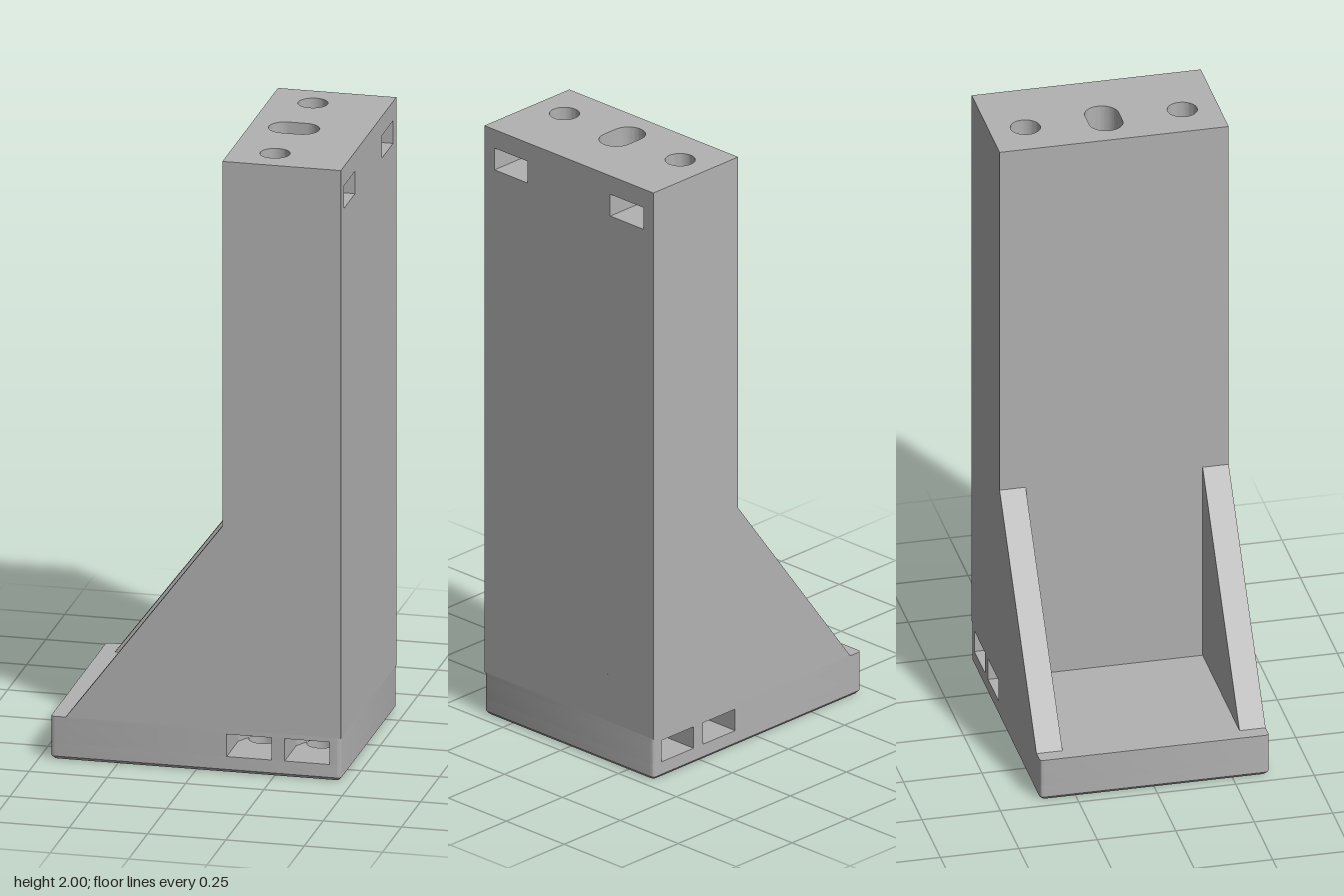
import * as THREE from 'three';
import { toCreasedNormals } from 'three/addons/utils/BufferGeometryUtils.js';

const W = 0.463, D = 0.365;            // half width (x) and half depth (z)
const COL = 0.085;                     // inner face of the column
const BASE_TOP = 0.14, ROUND = 0.012, CHAMFER = 0.008;
const NUT = 0.0715, NUT_R = NUT / Math.cos(Math.PI / 6); // hex nut pocket
const BOLT = 0.047;

const grey = new THREE.MeshStandardMaterial({ color: 0xb2b2b2 });

const circle = (x, z, r = BOLT) => new THREE.Path().absarc(x, z, r, 0, Math.PI * 2, true);

// Holes: four upward from the base, two downward from the top, one oblong
const baseBolts = [0.17, 0.355].flatMap(x => [-0.17, 0.17].map(z => circle(x, z)));
const topBolts = [-0.25, 0.25].map(z => circle(0.225, z));
const oblong = new THREE.Path();
oblong.absarc(0.252, 0, 0.0535, -Math.PI / 2, Math.PI / 2, false);
oblong.absarc(0.198, 0, 0.0535, Math.PI / 2, Math.PI * 1.5, false);
oblong.closePath();

// Horizontal slab between two heights
function slab(points, holes, y0, y1) {
  const shape = new THREE.Shape(points.map(p => new THREE.Vector2(...p)));
  shape.holes = holes;
  const g = new THREE.ExtrudeGeometry(shape, { depth: y1 - y0, bevelEnabled: false, curveSegments: 16 });
  return g.rotateX(-Math.PI / 2).translate(0, y0, 0);
}

// Base outline with rounded corners, optionally cut by the side nut pockets
function baseOutline(pockets) {
  const corner = (sx, sz, a0) => [0, 1, 2, 3, 4].map(i => {
    const a = a0 + i * Math.PI / 8;
    return [sx * (W - ROUND) + ROUND * Math.cos(a), sz * (D - ROUND) + ROUND * Math.sin(a)];
  });
  const cut = !pockets ? [] : [0.17, 0.355].flatMap(x => [
    [x - NUT, -D], [x - NUT, -0.17 - NUT_R / 2], [x, -0.17 + NUT_R],
    [x + NUT, -0.17 - NUT_R / 2], [x + NUT, -D]]);
  const mirrored = cut.map(([x, z]) => [x, -z]).reverse();
  return [...corner(-1, -1, Math.PI), ...cut, ...corner(1, -1, -Math.PI / 2),
    ...corner(1, 1, 0), ...mirrored, ...corner(-1, 1, Math.PI / 2)];
}

// Column outline, optionally cut by the nut pockets of its outer face
function columnOutline(pockets) {
  const cut = !pockets ? [] : [-0.25, 0.25].flatMap(z => [
    [W, z - NUT], [0.225 + NUT_R / 2, z - NUT], [0.225 - NUT_R, z],
    [0.225 + NUT_R / 2, z + NUT], [W, z + NUT]]);
  return [[COL, -D], [W, -D], ...cut, [W, D], [COL, D]];
}

export function createModel() {
  const model = new THREE.Group();
  const add = (name, geometry) => {
    const mesh = new THREE.Mesh(toCreasedNormals(geometry, 0.5), grey);
    mesh.name = name;
    model.add(mesh);
  };

  // Chamfered foot: pull the lower outer edge inwards
  const foot = slab(baseOutline(false), baseBolts, 0, 0.01);
  const p = foot.attributes.position;
  for (let i = 0; i < p.count; i++) {
    if (p.getY(i) > 0.005) continue;
    const x = p.getX(i), z = p.getZ(i);
    if (Math.abs(x) > W - 0.02 || Math.abs(z) > D - 0.02) {
      p.setX(i, x * (1 - CHAMFER / W));
      p.setZ(i, z * (1 - CHAMFER / D));
    }
  }
  add('baseFoot', foot);

  // Base plate with nut pockets opening to front and back
  add('baseLower', slab(baseOutline(false), baseBolts, 0.01, 0.052));
  add('baseNutPockets', slab(baseOutline(true), [], 0.052, 0.125));
  add('baseUpper', slab(baseOutline(false), baseBolts, 0.125, BASE_TOP));

  // Column with nut pockets near the top
  add('columnFoot', slab(columnOutline(false), baseBolts, BASE_TOP, 0.3));
  add('columnCore', slab(columnOutline(false), [], 0.3, 1.6));
  add('columnBoltSection', slab(columnOutline(false), [...topBolts, oblong], 1.6, 1.863));
  add('columnNutPockets', slab(columnOutline(true), [oblong], 1.863, 1.937));
  add('columnTop', slab(columnOutline(false), [...topBolts, oblong], 1.937, 2));

  // Sloping side ribs
  const profile = new THREE.Shape([[-0.415, BASE_TOP], [COL, BASE_TOP], [COL, 0.805]]
    .map(q => new THREE.Vector2(...q)));
  for (const [name, z] of [['frontRib', 0.282], ['backRib', -D]]) {
    add(name, new THREE.ExtrudeGeometry(profile, { depth: D - 0.282, bevelEnabled: false })
      .translate(0, 0, z));
  }
  return model;
}
